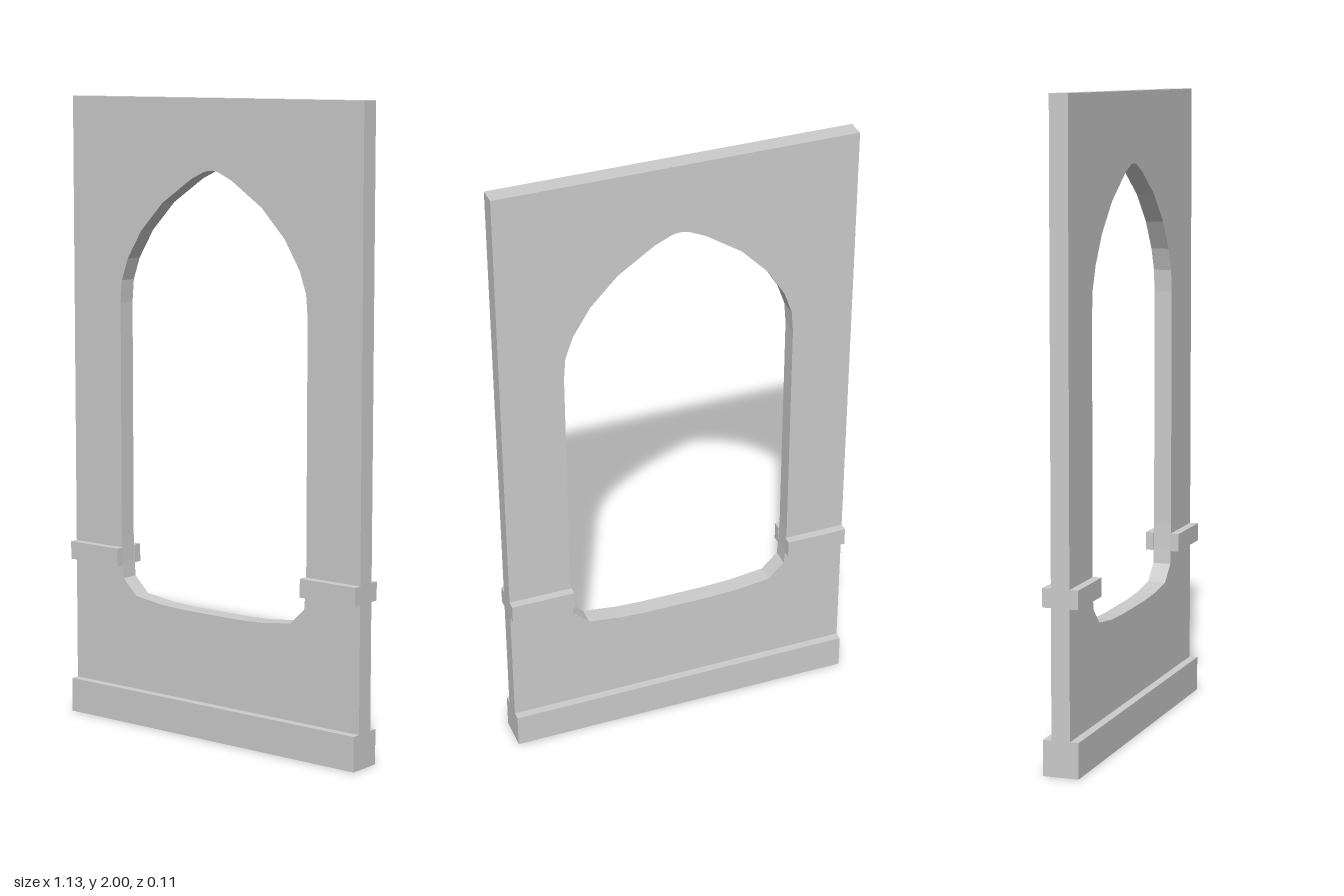
import * as THREE from 'three';

const HALF_W = 0.567;   // half width of the panel
const WALL_Z = 0.029;   // half thickness of the wall
const TRIM_Z = 0.056;   // half depth of the mouldings
const SHIFT = -0.003;   // the opening sits slightly off centre

// Right half of the pointed opening, from sill to apex
const HALF_OPENING = [
  [0.11, 0.397], [0.2, 0.401], [0.31, 0.415], [0.362, 0.466], [0.366, 0.52], [0.369, 0.6],
  [0.369, 1.355], [0.363, 1.425], [0.338, 1.495], [0.282, 1.585], [0.195, 1.675],
  [0.08, 1.752], [0.028, 1.776], [0.01, 1.78],
];

export function createModel() {
  const group = new THREE.Group();
  group.name = 'archedWindowWall';
  const material = new THREE.MeshStandardMaterial({ color: 0xcccccc, flatShading: true });

  // Wall panel with the opening cut through
  const shape = new THREE.Shape([
    [-HALF_W, 0], [HALF_W, 0], [HALF_W, 2], [-HALF_W, 2],
  ].map(([x, y]) => new THREE.Vector2(x, y)));
  const right = HALF_OPENING.map(([x, y]) => new THREE.Vector2(x + SHIFT, y));
  const left = HALF_OPENING.map(([x, y]) => new THREE.Vector2(-x + SHIFT, y)).reverse();
  shape.holes.push(new THREE.Path([...right, ...left]));
  const wallGeometry = new THREE.ExtrudeGeometry(shape, { depth: 2 * WALL_Z, bevelEnabled: false });
  wallGeometry.translate(0, 0, -WALL_Z);
  const wall = new THREE.Mesh(wallGeometry, material);
  wall.name = 'wall';
  group.add(wall);

  // A moulding strip standing out from one face of the wall
  const addStrip = (name, x0, x1, y0, y1, side) => {
    const depth = TRIM_Z - WALL_Z;
    const strip = new THREE.Mesh(new THREE.BoxGeometry(x1 - x0, y1 - y0, depth), material);
    strip.position.set((x0 + x1) / 2, (y0 + y1) / 2, side * (WALL_Z + depth / 2));
    strip.name = name;
    group.add(strip);
  };

  // Plinth and sill-height ledges on both faces
  for (const side of [1, -1]) {
    const face = side > 0 ? 'front' : 'back';
    addStrip(`${face}Plinth`, -HALF_W, HALF_W, 0, 0.11, side);
    addStrip(`${face}RightLedge`, -HALF_W, -0.365 + SHIFT, 0.508, 0.566, side);
    addStrip(`${face}LeftLedge`, 0.365 + SHIFT, HALF_W, 0.508, 0.566, side);
  }
  return group;
}
